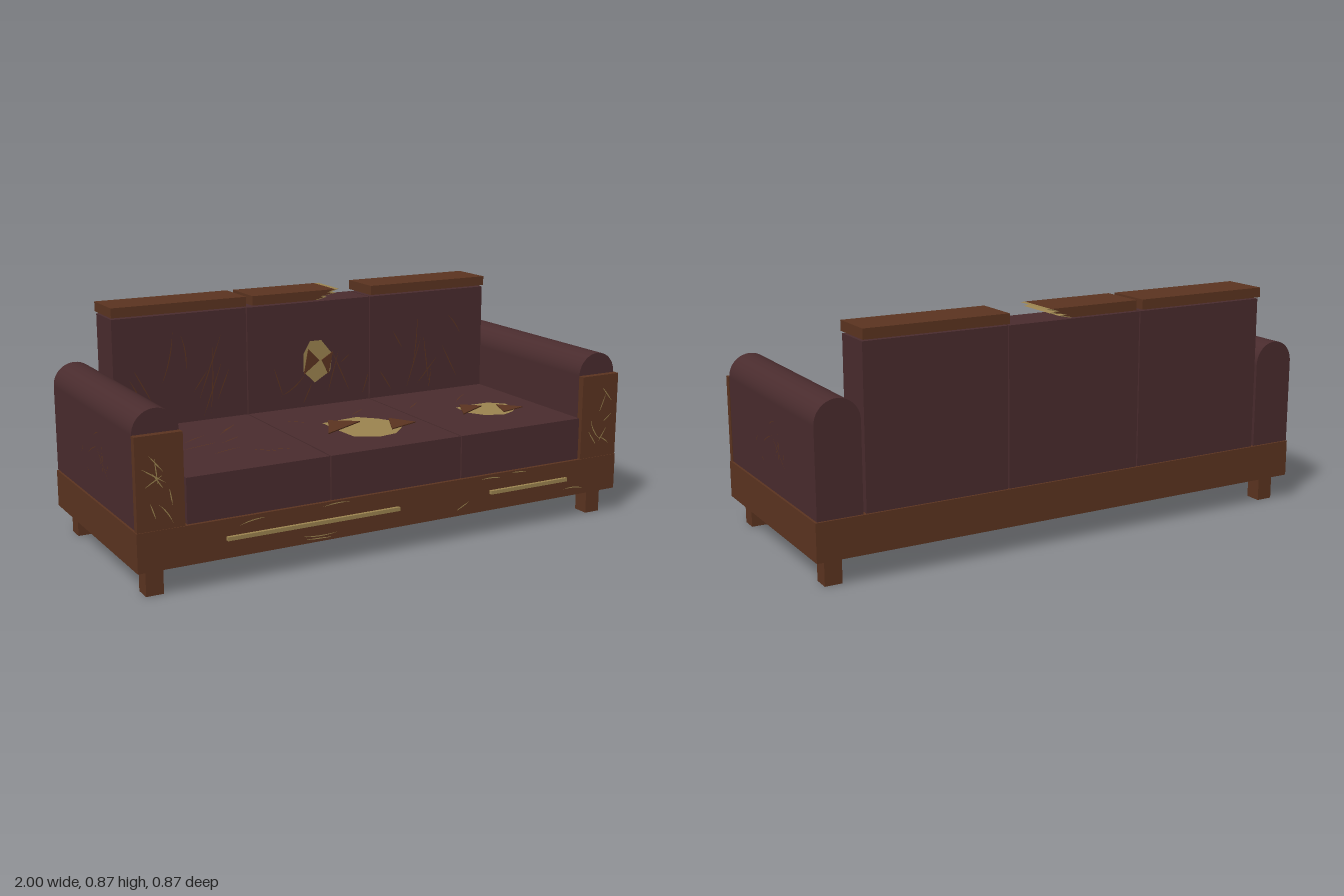
import * as THREE from 'three';

const material = (name, color, side = THREE.FrontSide) => {
  const m = new THREE.MeshStandardMaterial({ color, side });
  m.name = name;
  return m;
};

export function createModel() {
  const sofa = new THREE.Group();
  sofa.name = 'wornSofa';
  const leather = material('leather', 0x4a2c2e);
  const wood = material('wood', 0x5c3420);
  const stuffing = material('stuffing', 0x9c8450, THREE.DoubleSide);
  const torn = material('tornLeather', 0x5c3420, THREE.DoubleSide);

  const add = (name, geometry, mat, parent = sofa) => {
    const mesh = new THREE.Mesh(geometry, mat);
    mesh.name = name;
    parent.add(mesh);
    return mesh;
  };
  // Box given by its minimum and maximum on each axis
  const box = (name, mat, x0, x1, y0, y1, z0, z1) => {
    const mesh = add(name, new THREE.BoxGeometry(x1 - x0, y1 - y0, z1 - z0), mat);
    mesh.position.set((x0 + x1) / 2, (y0 + y1) / 2, (z0 + z1) / 2);
    return mesh;
  };
  // A flat layer on which marks and tears are drawn in x, y
  const layer = (name, position, rx = 0, ry = 0) => {
    const g = new THREE.Group();
    g.name = name;
    g.position.set(...position);
    g.rotation.set(rx, ry, 0);
    sofa.add(g);
    return g;
  };
  // Tapered curved scratches: [x0, y0, x1, y1, bend]
  const scratches = (parent, mat, width, list) => {
    const shapes = list.map(([x0, y0, x1, y1, bend = 0]) => {
      const len = Math.hypot(x1 - x0, y1 - y0);
      const nx = -(y1 - y0) / len, ny = (x1 - x0) / len;
      const mx = (x0 + x1) / 2, my = (y0 + y1) / 2;
      const s = new THREE.Shape();
      s.moveTo(x0, y0);
      s.quadraticCurveTo(mx + nx * (bend + width), my + ny * (bend + width), x1, y1);
      s.quadraticCurveTo(mx + nx * (bend - width), my + ny * (bend - width), x0, y0);
      return s;
    });
    add('scratches', new THREE.ShapeGeometry(shapes, 6), mat, parent);
  };
  const polygon = (points) => new THREE.Shape(points.map(([x, y]) => new THREE.Vector2(x, y)));
  // A hole showing stuffing, with triangular flaps peeled over it
  const tear = (parent, outline, flaps) => {
    add('exposedStuffing', new THREE.ShapeGeometry(polygon(outline)), stuffing, parent).position.z = 0.002;
    for (const f of flaps) {
      const geo = new THREE.ExtrudeGeometry(polygon(f), { depth: 0.004, bevelEnabled: false });
      add('tornFlap', geo, torn, parent).position.z = 0.004;
    }
  };

  // Base, legs and front trim strips
  box('base', wood, -1, 1, 0.1, 0.24, -0.425, 0.42);
  for (const x of [-0.928, 0.928]) {
    for (const z of [-0.356, 0.35]) {
      box('leg', wood, x - 0.032, x + 0.032, 0, 0.1, z - 0.032, z + 0.032);
    }
  }
  box('trimStrip', stuffing, -0.68, 0, 0.166, 0.18, 0.423, 0.436);
  box('trimStrip', stuffing, 0.4, 0.755, 0.166, 0.18, 0.423, 0.436);

  // Seat and back cushions
  for (const x of [-0.547, 0, 0.547]) {
    box('seatCushion', leather, x - 0.271, x + 0.271, 0.243, 0.405, -0.264, 0.415);
    box('backCushion', leather, x - 0.271, x + 0.271, 0.243, 0.826, -0.425, -0.264);
  }

  // Arms with rounded tops and wooden front panels
  for (const s of [-1, 1]) {
    const x = s * 0.912;
    box('arm', leather, x - 0.083, x + 0.083, 0.243, 0.567, -0.425, 0.392);
    const roll = add('armRoll', new THREE.CylinderGeometry(0.083, 0.083, 0.817, 40), leather);
    roll.rotation.x = Math.PI / 2;
    roll.position.set(x, 0.567, -0.0165);
    box('armFrontPanel', wood, x - 0.085, x + 0.085, 0.241, 0.567, 0.394, 0.42);
  }

  // Top rails, the middle one snapped off
  box('topRail', wood, -0.82, -0.277, 0.833, 0.87, -0.436, -0.257);
  box('topRail', wood, 0.275, 0.82, 0.833, 0.87, -0.436, -0.257);
  const breakLine = [[0.02, 0.833], [0.06, 0.842], [0.045, 0.846], [0.1, 0.855], [0.075, 0.859], [0.11, 0.87]];
  const rail = (name, points, mat, depth, z) => {
    const geo = new THREE.ExtrudeGeometry(polygon(points), { depth, bevelEnabled: false });
    add(name, geo, mat).position.z = z;
  };
  rail('brokenRail', [[-0.25, 0.87], [-0.25, 0.833], ...breakLine], wood, 0.179, -0.436);
  rail('splinteredEnd', [...breakLine, [0.13, 0.87], [0.09, 0.859], [0.115, 0.855], [0.055, 0.846],
    [0.075, 0.842], [0.035, 0.833]], stuffing, 0.175, -0.434);

  // Marks and tears on the seat tops (y of the layer is minus z)
  const seat = layer('seatWear', [0, 0.406, 0], -Math.PI / 2);
  tear(seat,
    [[-0.09, -0.01], [-0.02, 0], [0.07, 0.01], [0.13, -0.05], [0.17, -0.12], [0.15, -0.2],
      [0.08, -0.27], [0, -0.285], [-0.08, -0.24], [-0.09, -0.12]],
    [[[-0.15, -0.17], [-0.06, 0], [0.04, -0.07]], [[0.16, -0.08], [0.22, -0.18], [0.09, -0.225]]]);
  tear(seat,
    [[0.49, -0.05], [0.56, -0.04], [0.65, -0.04], [0.7, -0.09], [0.695, -0.17], [0.65, -0.21],
      [0.59, -0.235], [0.52, -0.2], [0.485, -0.14]],
    [[[0.45, -0.165], [0.52, -0.03], [0.585, -0.09]], [[0.65, -0.1], [0.72, -0.18], [0.61, -0.21]]]);
  scratches(seat, torn, 0.004, [
    [-0.78, 0.18, -0.69, 0.1, 0.01], [-0.5, 0.03, -0.38, 0.15], [-0.47, 0.07, -0.41, 0.12],
    [-0.66, -0.02, -0.55, 0.05, 0.01], [-0.7, -0.1, -0.55, -0.06], [-0.54, -0.08, -0.44, -0.02],
    [-0.76, -0.06, -0.7, -0.12], [-0.62, -0.2, -0.5, -0.16, 0.01], [-0.48, -0.2, -0.4, -0.28],
    [-0.42, -0.24, -0.35, -0.26], [-0.2, 0.1, -0.13, 0.03], [0.08, 0.06, 0.16, 0.12],
    [0.32, 0.03, 0.42, 0.12], [0.55, 0.04, 0.66, 0.14, 0.01], [0.37, -0.1, 0.44, -0.14]]);

  // Marks and a tear on the back cushions
  const back = layer('backWear', [0, 0, -0.263]);
  tear(back,
    [[0, 0.67], [0.05, 0.67], [0.1, 0.61], [0.09, 0.54], [0.02, 0.5], [-0.03, 0.55], [-0.03, 0.62]],
    [[[-0.03, 0.54], [-0.01, 0.64], [0.04, 0.59]], [[0.05, 0.59], [0.1, 0.62], [0.08, 0.53]]]);
  scratches(back, torn, 0.004, [
    [-0.76, 0.6, -0.69, 0.47], [-0.74, 0.63, -0.67, 0.5], [-0.58, 0.76, -0.63, 0.56, 0.02],
    [-0.55, 0.75, -0.53, 0.6, 0.02], [-0.38, 0.74, -0.48, 0.48], [-0.42, 0.7, -0.43, 0.43, 0.01],
    [-0.38, 0.63, -0.46, 0.42], [-0.35, 0.6, -0.4, 0.48], [-0.5, 0.52, -0.44, 0.6],
    [-0.16, 0.58, -0.12, 0.46], [-0.13, 0.46, -0.02, 0.54, -0.02], [-0.03, 0.42, 0.01, 0.5],
    [0.08, 0.45, 0.13, 0.62], [0.1, 0.62, 0.18, 0.45], [0.14, 0.57, 0.18, 0.6], [0.27, 0.52, 0.24, 0.43],
    [0.32, 0.52, 0.38, 0.43], [0.45, 0.43, 0.52, 0.64], [0.5, 0.72, 0.48, 0.52, 0.01],
    [0.53, 0.65, 0.56, 0.44], [0.5, 0.44, 0.6, 0.55], [0.62, 0.6, 0.7, 0.45],
    [0.65, 0.72, 0.71, 0.64, 0.01], [0.38, 0.68, 0.43, 0.6], [0.57, 0.5, 0.56, 0.42]]);

  // Marks on the outer sides of the arms
  for (const s of [-1, 1]) {
    const side = layer('armWear', [s * 0.9965, 0, 0], 0, s * Math.PI / 2);
    scratches(side, torn, 0.003, [
      [-0.123, 0.39, -0.105, 0.415], [-0.07, 0.347, -0.054, 0.33, 0.004], [-0.047, 0.405, 0.04, 0.445, 0.008],
      [0.015, 0.48, 0.063, 0.5, 0.008], [0.04, 0.445, 0.16, 0.345], [0.1, 0.465, 0.1, 0.36],
      [0.07, 0.38, 0.1, 0.44], [0.14, 0.38, 0.155, 0.41]]);
  }

  // Pale scratches on the front woodwork
  const front = layer('woodWear', [0, 0, 0.4215]);
  scratches(front, stuffing, 0.004, [
    [-0.98, 0.46, -0.89, 0.4], [-0.97, 0.39, -0.9, 0.43], [-0.93, 0.49, -0.92, 0.4], [-0.95, 0.5, -0.9, 0.44],
    [-0.92, 0.33, -0.87, 0.26, 0.01], [-0.95, 0.34, -0.93, 0.28], [-0.88, 0.38, -0.87, 0.32],
    [-0.94, 0.44, -0.9, 0.38], [0.87, 0.4, 0.92, 0.31, -0.02], [0.91, 0.42, 0.94, 0.49],
    [0.93, 0.38, 0.97, 0.41], [0.86, 0.35, 0.9, 0.29], [0.91, 0.32, 0.96, 0.29, 0.01], [0.95, 0.36, 0.91, 0.3],
    [0.92, 0.52, 0.97, 0.46], [-0.63, 0.21, -0.53, 0.225, 0.008], [-0.4, 0.13, -0.25, 0.125, -0.012],
    [-0.38, 0.115, -0.27, 0.11], [-0.31, 0.225, -0.2, 0.23, 0.008], [0.25, 0.12, 0.31, 0.15],
    [0.36, 0.225, 0.46, 0.22, 0.01], [0.75, 0.13, 0.84, 0.125, 0.01], [0.5, 0.235, 0.58, 0.23]]);

  return sofa;
}
